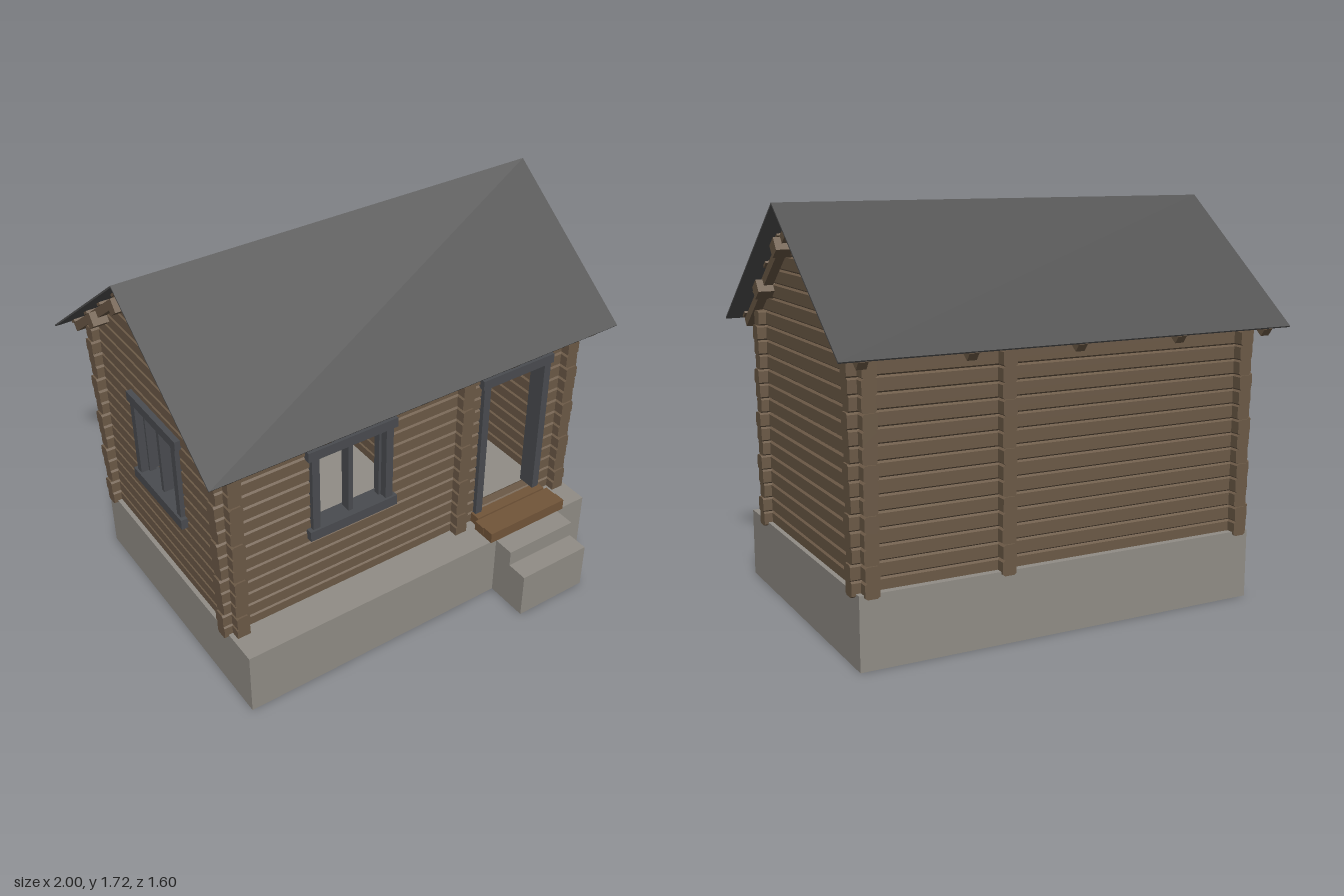
import * as THREE from 'three';
import { mergeGeometries } from 'three/addons/utils/BufferGeometryUtils.js';

const mat = (name, color) => Object.assign(new THREE.MeshStandardMaterial({ color }), { name });

export function createModel() {
  const model = new THREE.Group();
  model.name = 'logCabin';
  const timber = mat('timber', 0x6c5a47);
  const treadWood = mat('treadWood', 0x725539);
  const concrete = mat('concrete', 0x918d86);
  const trim = mat('trim', 0x4a4c50);
  const roofing = mat('roofing', 0x525252);

  const add = (parent, name, geometry, material) => {
    const mesh = new THREE.Mesh(geometry, material);
    mesh.name = name;
    parent.add(mesh);
    return mesh;
  };
  // box given by its limits on each axis
  const box = (parent, name, material, x0, x1, y0, y1, z0, z1) => {
    const mesh = add(parent, name, new THREE.BoxGeometry(x1 - x0, y1 - y0, z1 - z0), material);
    mesh.position.set((x0 + x1) / 2, (y0 + y1) / 2, (z0 + z1) / 2);
    return mesh;
  };

  const ZC = -0.1125;          // ridge line
  const RIDGE = 1.715;
  const HALF_RUN = 0.6825;
  const SLOPE = 0.762;
  const ANGLE = Math.atan(SLOPE);
  const WALL_Y = 0.284;
  const COURSE = 0.0636;

  // Foundation and steps
  box(model, 'foundation', concrete, -0.9, 0.9, 0, 0.3, -0.69, 0.6);
  box(model, 'upperStep', concrete, 0.38, 0.74, 0, 0.295, 0.6, 0.7);
  box(model, 'lowerStep', concrete, 0.38, 0.74, 0, 0.22, 0.7, 0.8);

  // Log: flat-faced with chamfered seams, running along z from a to b
  const profile = new THREE.Shape([
    [-0.02, 0], [0.02, 0], [0.03, 0.007], [0.03, COURSE - 0.007],
    [0.02, COURSE], [-0.02, COURSE], [-0.03, COURSE - 0.007], [-0.03, 0.007],
  ].map(([x, y]) => new THREE.Vector2(x, y)));
  const log = (course, a, b) => {
    const g = new THREE.ExtrudeGeometry(profile, { depth: b - a, bevelEnabled: false });
    return g.translate(0, WALL_Y + course * COURSE, a);
  };

  // Wall along z, centred on 0; an opening is {from, to, first, last} with courses
  const wallGeometry = (half, courses, gable, openings = []) => {
    const logs = [];
    for (let c = 0; c < courses; c++) {
      const end = half + [0, 0.004, -0.004][c % 3];
      let start = -end;
      for (const o of openings) {
        if (c < o.first || c > o.last) continue;
        logs.push(log(c, start, o.from));
        start = o.to;
      }
      logs.push(log(c, start, end));
    }
    const g = mergeGeometries(logs);
    if (gable) {
      // cut the log ends to the roof slope
      const p = g.attributes.position;
      for (let i = 0; i < p.count; i++) {
        const limit = Math.max(0.005, (1.682 - p.getY(i)) / SLOPE);
        p.setZ(i, THREE.MathUtils.clamp(p.getZ(i), -limit, limit));
      }
      g.computeVertexNormals();
    }
    return g;
  };

  // Side walls and partition, with gables
  const sideOpening = [{ from: -0.18, to: 0.18, first: 6, last: 11 }];
  for (const [name, x, openings] of [
    ['rightWall', -0.85, sideOpening], ['leftWall', 0.85, []], ['partitionWall', 0.275, []],
  ]) {
    add(model, name, wallGeometry(0.59, 21, true, openings), timber).position.set(x, 0, ZC);
  }

  // Front and back walls
  const frontOpenings = [
    { from: -0.475, to: -0.115, first: 6, last: 11 },
    { from: 0.39, to: 0.73, first: 1, last: 11 },
  ];
  for (const [name, z, openings] of [['frontWall', 0.405, frontOpenings], ['backWall', -0.63, []]]) {
    const wall = add(model, name, wallGeometry(0.917, 15, false, openings), timber);
    wall.rotation.y = Math.PI / 2;
    wall.position.z = z;
  }

  // Window: centred on x, wall middle at z = 0
  const makeWindow = (name) => {
    const w = new THREE.Group();
    w.name = name;
    box(w, 'headBoard', trim, -0.215, 0.215, 1.035, 1.08, -0.03, 0.055);
    box(w, 'sillBoard', trim, -0.215, 0.215, 0.632, 0.68, -0.03, 0.06);
    for (const s of [-1, 1]) {
      const jamb = box(w, 'jamb', trim, 0.162, 0.197, 0.68, 1.035, -0.035, 0.05);
      jamb.position.x *= s;
      const sash = box(w, 'sashStile', trim, 0.15, 0.162, 0.68, 1.035, -0.015, 0.015);
      sash.position.x *= s;
    }
    box(w, 'mullion', trim, -0.011, 0.011, 0.68, 1.035, -0.02, 0.03);
    model.add(w);
    return w;
  };
  makeWindow('frontWindow').position.set(-0.295, 0, 0.405);
  const sideWindow = makeWindow('sideWindow');
  sideWindow.position.set(-0.85, 0, ZC);
  sideWindow.rotation.y = -Math.PI / 2;

  // Door frame and timber threshold
  const door = new THREE.Group();
  door.name = 'doorFrame';
  model.add(door);
  box(door, 'doorHead', trim, 0.365, 0.755, 1.035, 1.08, 0.37, 0.46);
  box(door, 'doorJamb', trim, 0.375, 0.41, 0.348, 1.035, 0.37, 0.455);
  box(door, 'doorJamb', trim, 0.71, 0.745, 0.348, 1.035, 0.37, 0.455);
  box(door, 'threshold', treadWood, 0.365, 0.755, 0.3, 0.348, 0.435, 0.485);
  box(door, 'innerTread', treadWood, 0.345, 0.77, 0.3, 0.345, 0.49, 0.547);
  box(door, 'outerTread', treadWood, 0.345, 0.77, 0.298, 0.35, 0.55, 0.605);

  // Roof: s runs down the slope, n is the depth of the top face below the roof surface
  const roof = new THREE.Group();
  roof.name = 'roof';
  model.add(roof);
  const cos = Math.cos(ANGLE), sin = Math.sin(ANGLE);
  const slab = (side, name, material, x, width, s0, s1, n, thick) => {
    const mesh = add(roof, name, new THREE.BoxGeometry(width, thick, s1 - s0), material);
    const s = (s0 + s1) / 2, d = -n - thick / 2;
    mesh.position.set(x, RIDGE - s * sin + d * cos, ZC + side * (s * cos + d * sin));
    mesh.rotation.x = side * ANGLE;
  };
  const slopeLength = HALF_RUN / cos;
  for (const side of [-1, 1]) {
    slab(side, 'roofSheet', roofing, 0, 2, 0, slopeLength, 0, 0.007);
    for (const s of [0.03, 0.22, 0.42, 0.62, 0.82]) {
      slab(side, 'batten', timber, 0, 1.86, s - 0.018, s + 0.018, 0.007, 0.011);
    }
    for (const x of [-0.9, -0.465, 0, 0.465, 0.9]) {
      slab(side, 'rafter', timber, x, 0.04, 0, 0.85, 0.018, 0.038);
    }
    for (const s of [0.23, 0.544]) {
      slab(side, 'purlin', timber, 0, 1.9, s - 0.03, s + 0.03, 0.026, 0.06);
    }
  }

  // Ridge beam with a peaked top
  const ridgeShape = new THREE.Shape([
    [-0.025, 1.63], [0.025, 1.63], [0.025, 1.672], [0, 1.69], [-0.025, 1.672],
  ].map(([x, y]) => new THREE.Vector2(x, y)));
  const ridge = add(roof, 'ridgeBeam',
    new THREE.ExtrudeGeometry(ridgeShape, { depth: 1.9, bevelEnabled: false }).translate(0, 0, -0.95), timber);
  ridge.rotation.y = Math.PI / 2;
  ridge.position.z = ZC;

  return model;
}
